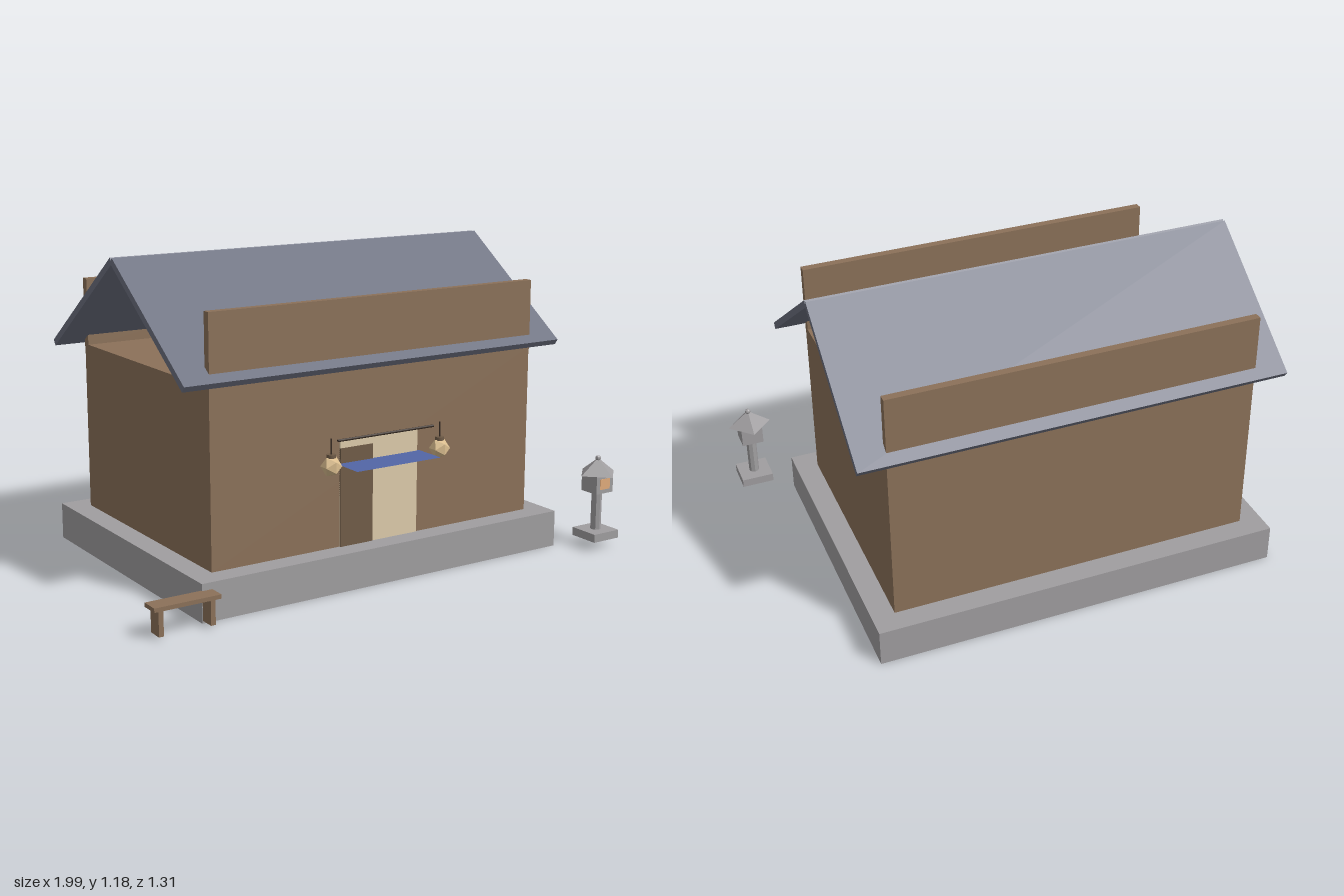
import * as THREE from 'three';

const mat = (color, extra = {}) => new THREE.MeshStandardMaterial({ color, ...extra });
const WOOD = mat(0x8b7159);
const DARK_WOOD = mat(0x705c48);
const IRON = mat(0x3a2e26);
const STONE = mat(0xa09ea0, { flatShading: true });
const SLATE = mat(0x6c7080);
const PAPER = mat(0xdccbaa);
const LAMP = mat(0xdcbf90, { flatShading: true });
const GLOW = mat(0xe0ab7c);
const CLOTH = mat(0x5266a6, { side: THREE.DoubleSide });

function add(parent, name, geometry, material, x = 0, y = 0, z = 0) {
  const mesh = new THREE.Mesh(geometry, material);
  mesh.name = name;
  mesh.position.set(x, y, z);
  parent.add(mesh);
  return mesh;
}

// Box given by its minimum and maximum corners
function box(parent, name, material, [x0, y0, z0], [x1, y1, z1]) {
  const geometry = new THREE.BoxGeometry(x1 - x0, y1 - y0, z1 - z0);
  return add(parent, name, geometry, material, (x0 + x1) / 2, (y0 + y1) / 2, (z0 + z1) / 2);
}

function group(parent, name, x = 0, y = 0, z = 0) {
  const g = new THREE.Group();
  g.name = name;
  g.position.set(x, y, z);
  parent.add(g);
  return g;
}

function buildHouse(root) {
  const house = group(root, 'house');
  box(house, 'foundation', STONE, [-0.79, 0, -0.655], [0.77, 0.14, 0.488]);
  box(house, 'walls', WOOD, [-0.705, 0.14, -0.57], [0.685, 0.785, 0.403]);
  box(house, 'frontParapet', WOOD, [-0.705, 0.775, 0.376], [0.685, 1.04, 0.406]);
  box(house, 'backParapet', WOOD, [-0.705, 0.775, -0.573], [0.685, 1.04, -0.543]);

  // Two sloping slabs meeting at the ridge
  const run = 0.518, drop = 0.369, ridgeY = 1.165, ridgeZ = -0.085;
  for (const side of [1, -1]) {
    const slab = new THREE.BoxGeometry(1.615, 0.025, Math.hypot(run, drop));
    const slope = add(house, side > 0 ? 'frontRoof' : 'backRoof', slab, SLATE,
      -0.01, ridgeY - drop / 2, ridgeZ + side * run / 2);
    slope.rotation.x = side * Math.atan2(drop, run);
  }
}

function buildEntrance(root) {
  const entrance = group(root, 'entrance');
  box(entrance, 'doorScreen', PAPER, [-0.18, 0.14, 0.39], [0.16, 0.537, 0.407]);
  box(entrance, 'slidingDoor', DARK_WOOD, [-0.18, 0.14, 0.39], [-0.04, 0.505, 0.41]);

  // Rod and flat cloth above the door
  const rod = new THREE.CylinderGeometry(0.005, 0.005, 0.418, 8);
  add(entrance, 'curtainRod', rod, IRON, -0.012, 0.548, 0.453).rotation.z = Math.PI / 2;
  const cloth = new THREE.PlaneGeometry(0.365, 0.145);
  add(entrance, 'doorCloth', cloth, CLOTH, -0.012, 0.45, 0.463).rotation.x = -Math.PI / 2;

  // Hanging lanterns on both sides
  for (const side of [1, -1]) {
    const lamp = group(entrance, 'hangingLantern', -0.011 + side * 0.238, 0, 0.453);
    add(lamp, 'lanternBody', new THREE.IcosahedronGeometry(0.039, 0), LAMP, 0, 0.46, 0);
    add(lamp, 'lanternCap', new THREE.CylinderGeometry(0.016, 0.016, 0.013, 12), DARK_WOOD, 0, 0.497, 0);
    add(lamp, 'lanternCord', new THREE.CylinderGeometry(0.003, 0.003, 0.06, 6), IRON, 0, 0.53, 0);
  }
}

function buildBench(root) {
  const bench = group(root, 'bench');
  box(bench, 'benchSeat', WOOD, [-1, 0.1, 0.481], [-0.75, 0.115, 0.55]);
  for (const x of [-0.973, -0.779]) {
    box(bench, 'benchLeg', WOOD, [x - 0.009, 0.01, 0.487], [x + 0.009, 0.1, 0.544]);
  }
}

function buildStoneLantern(root) {
  const lantern = group(root, 'stoneLantern', 0.91, 0, 0.57);
  box(lantern, 'lanternBase', STONE, [-0.062, 0.035, -0.062], [0.062, 0.067, 0.062]);
  add(lantern, 'lanternPost', new THREE.CylinderGeometry(0.02, 0.02, 0.155, 8), STONE, 0, 0.144, 0);
  box(lantern, 'fireBox', STONE, [-0.042, 0.219, -0.042], [0.042, 0.29, 0.042]);
  box(lantern, 'fireBoxWindow', GLOW, [-0.025, 0.235, 0.03], [0.025, 0.277, 0.0435]);
  add(lantern, 'lanternRoof', new THREE.ConeGeometry(0.084, 0.062, 4), STONE, 0, 0.32, 0);
  add(lantern, 'lanternFinial', new THREE.SphereGeometry(0.011, 8, 6), STONE, 0, 0.35, 0);
}

export function createModel() {
  const root = new THREE.Group();
  root.name = 'teaHouse';
  buildHouse(root);
  buildEntrance(root);
  buildBench(root);
  buildStoneLantern(root);
  return root;
}
